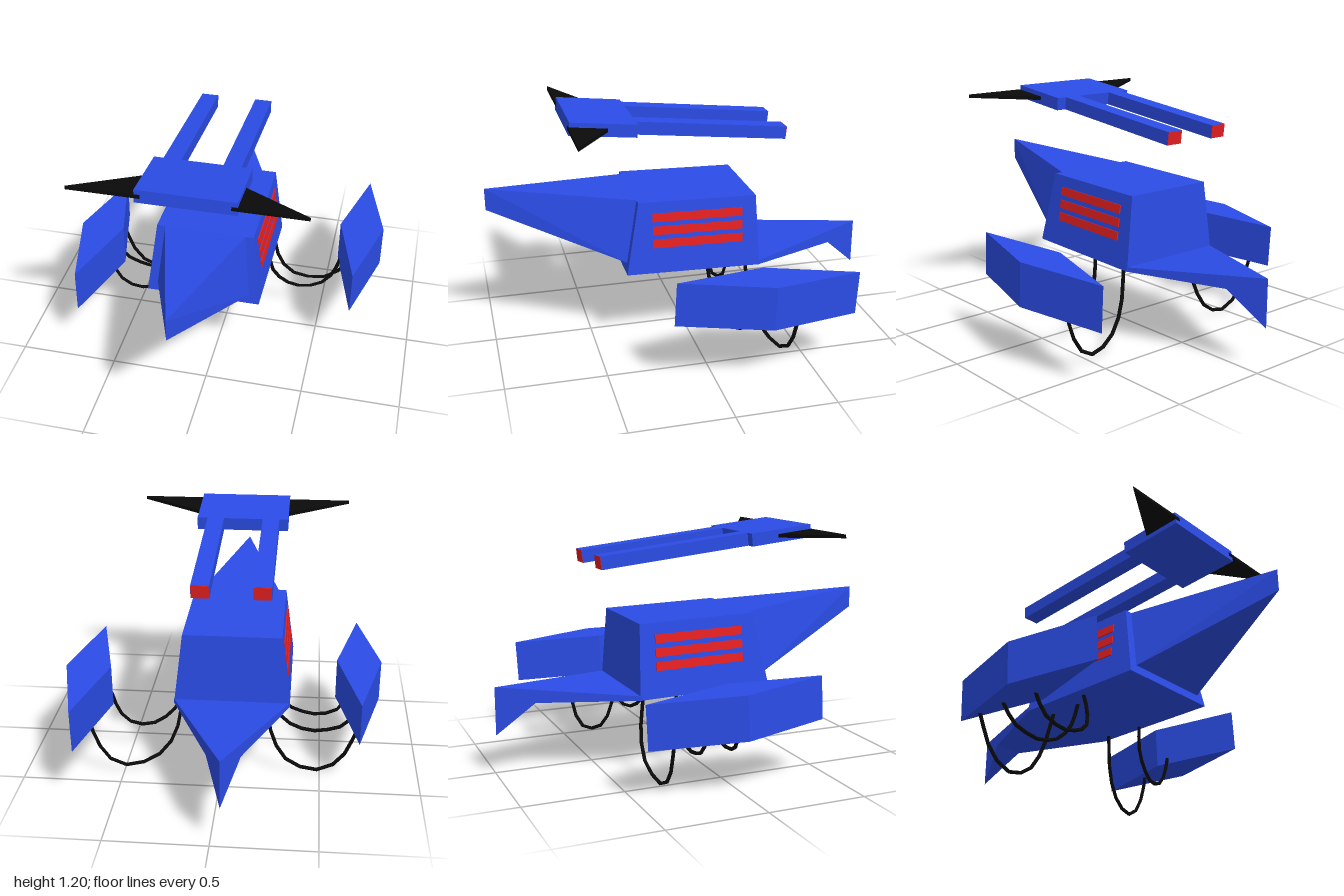
import * as THREE from 'three';
import { ConvexGeometry } from 'three/addons/geometries/ConvexGeometry.js';

const paint = (color) => new THREE.MeshStandardMaterial({ color, flatShading: true });
const CX = -0.05; // hull centre line

export function createModel() {
  const model = new THREE.Group();
  const blue = paint(0x2b4ce6), red = paint(0xe62020), black = paint(0x0a0a0a);

  const add = (name, geometry, material, parent = model) => {
    const mesh = new THREE.Mesh(geometry, material);
    mesh.name = name;
    parent.add(mesh);
    return mesh;
  };
  // Convex block from [halfWidth, y, z] rows mirrored about the centre line
  const block = (name, rows) => {
    const points = rows.flatMap(([w, y, z]) => w
      ? [new THREE.Vector3(CX - w, y, z), new THREE.Vector3(CX + w, y, z)]
      : [new THREE.Vector3(CX, y, z)]);
    return add(name, new ConvexGeometry(points), blue);
  };

  // Hull: cabin, nose wedge, tail delta and the fin below its tip
  block('cabin', [[0.29, 0.405, 0.34], [0.29, 0.388, -0.355], [0.245, 0.77, 0.27], [0.245, 0.757, -0.34]]);
  block('nose', [[0.238, 0.45, 0.33], [0.204, 0.77, 0.268], [0, 0.825, 1], [0, 0.712, 1]]);
  block('tail', [[0.29, 0.388, -0.35], [0.29, 0.41, -0.35], [0.081, 0.375, -0.82], [0.081, 0.441, -0.82]]);
  block('tailFin', [[0.081, 0.375, -0.82], [0.081, 0.441, -0.82], [0, 0.453, -1], [0, 0.21, -1]]);

  // Three red stripes on each sloping cabin wall
  for (const side of [-1, 1]) {
    for (let i = 0; i < 3; i++) {
      const y = 0.684 - i * 0.067;
      const half = 0.29 - (y - 0.397) * 0.122;
      const stripe = add('stripe', new THREE.BoxGeometry(0.012, 0.043, 0.467), red);
      stripe.position.set(CX + side * half, y, -0.032);
      stripe.rotation.set(-0.02, 0, side * 0.121);
    }
  }

  // Diamond-shaped side pods, tilted slightly nose up
  const diamond = new THREE.Shape([[0, -0.455], [0.115, 0], [0, 0.455], [-0.115, 0]]
    .map(([x, y]) => new THREE.Vector2(x, y)));
  const podGeometry = new THREE.ExtrudeGeometry(diamond, { depth: 0.22, bevelEnabled: false });
  podGeometry.translate(0, 0, -0.11).rotateX(-Math.PI / 2);
  for (const [name, x, y, z] of [['leftPod', 0.687, 0.42, -0.252], ['rightPod', -0.69, 0.384, -0.005]]) {
    const pod = add(name, podGeometry, blue);
    pod.position.set(x, y, z);
    pod.rotation.x = -0.052;
  }

  // Hanging cables between cabin floor and pods
  const cables = [
    [[0.2, 0.41, -0.285], [0.24, 0.2, -0.31], [0.31, 0.09, -0.335], [0.435, 0.037, -0.375],
      [0.535, 0.052, -0.4], [0.625, 0.17, -0.413], [0.668, 0.33, -0.417]],
    [[0.215, 0.41, -0.08], [0.24, 0.275, -0.1], [0.315, 0.185, -0.125], [0.41, 0.148, -0.155],
      [0.51, 0.18, -0.178], [0.56, 0.25, -0.187], [0.59, 0.345, -0.19]],
    [[-0.215, 0.41, -0.29], [-0.26, 0.19, -0.325], [-0.335, 0.07, -0.33], [-0.46, 0.012, -0.315],
      [-0.53, 0.022, -0.312], [-0.61, 0.09, -0.315], [-0.69, 0.28, -0.325]],
    [[-0.22, 0.41, -0.115], [-0.25, 0.28, -0.13], [-0.34, 0.18, -0.14], [-0.46, 0.145, -0.145],
      [-0.55, 0.16, -0.15], [-0.62, 0.19, -0.155], [-0.69, 0.28, -0.16]],
    [[-0.285, 0.41, -0.02], [-0.275, 0.31, 0], [-0.31, 0.21, 0.025], [-0.45, 0.145, 0.042],
      [-0.53, 0.15, 0.042], [-0.6, 0.19, 0.033], [-0.65, 0.29, 0.02]],
  ];
  for (const points of cables) {
    const curve = new THREE.CatmullRomCurve3(points.map((p) => new THREE.Vector3(...p)));
    add('cable', new THREE.TubeGeometry(curve, 10, 0.0095, 6), black);
  }

  // Floating twin-barrel unit above the hull
  const gun = new THREE.Group();
  gun.name = 'gunUnit';
  gun.position.set(-0.057, 1.112, 0.04);
  gun.rotation.x = -0.105;
  model.add(gun);
  add('gunPlate', new THREE.BoxGeometry(0.477, 0.065, 0.335), blue, gun).position.z = 0.391;
  for (const x of [-0.148, 0.142]) {
    add('barrel', new THREE.BoxGeometry(0.087, 0.065, 0.786), blue, gun).position.set(x, 0, -0.164);
    add('barrelTip', new THREE.BoxGeometry(0.085, 0.063, 0.004), red, gun).position.set(x, 0, -0.557);
  }

  // Thin black triangular wings on the plate
  for (const side of [-1, 1]) {
    const outline = new THREE.Shape([[0.21, -0.562], [0.562, -0.562], [0.238, -0.37], [0.21, -0.353]]
      .map(([x, y]) => new THREE.Vector2(side * x, y)));
    const wing = new THREE.ExtrudeGeometry(outline, { depth: 0.018, bevelEnabled: false });
    wing.translate(0, 0, -0.009).rotateX(-Math.PI / 2);
    add(side > 0 ? 'leftWing' : 'rightWing', wing, black, gun);
  }
  return model;
}
